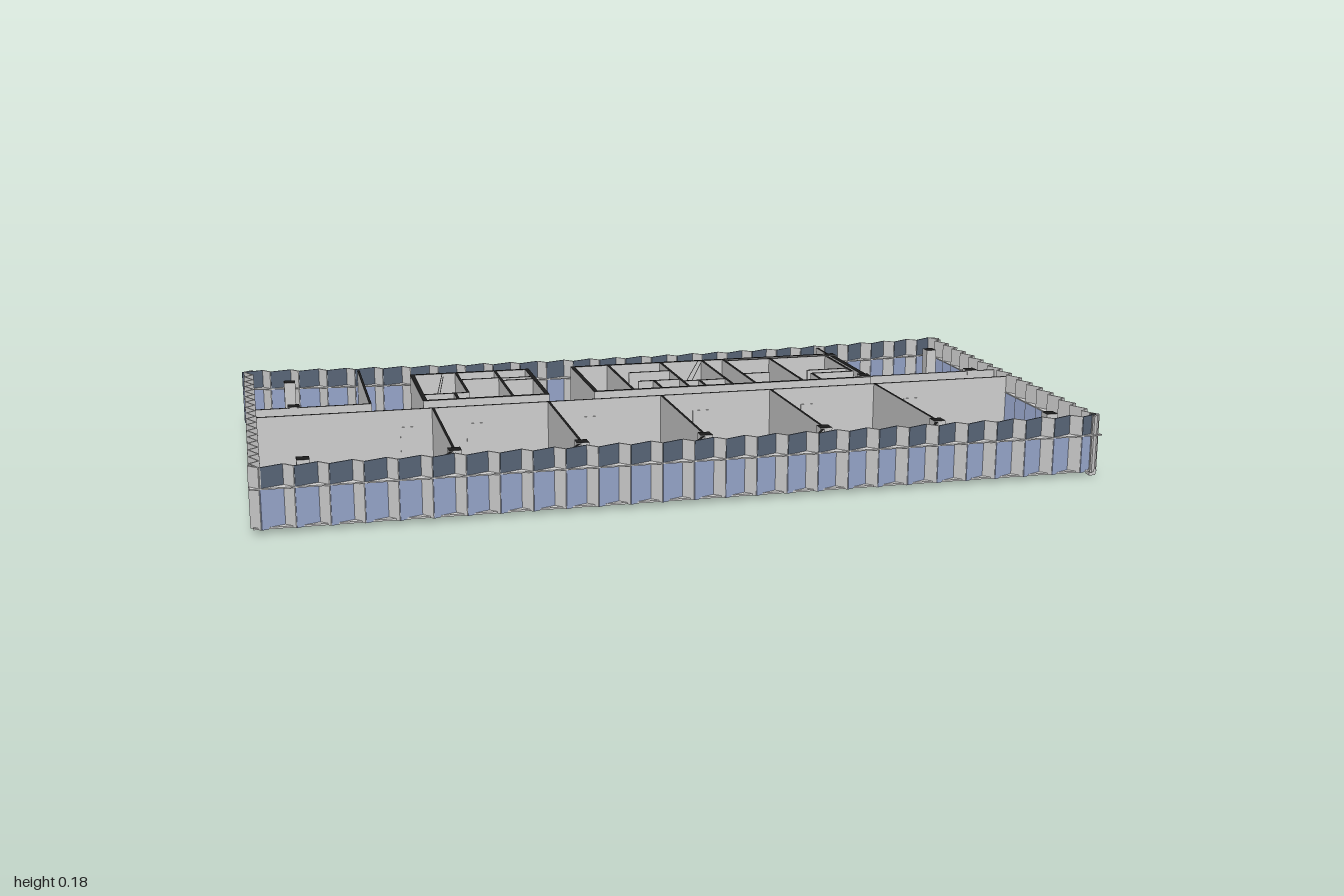
import * as THREE from 'three';
import { mergeGeometries } from 'three/addons/utils/BufferGeometryUtils.js';

const mat = (color) => new THREE.MeshStandardMaterial({ color });
const grey = mat(0xcccccc), black = mat(0x1a1a1a), glassMat = mat(0x97a6cb);
const slate = mat(0x596678), tan = mat(0xc4bca0), tile = mat(0xe6dedc);
const FLOOR = 0.014, TOP = 0.147, TRANSOM = 0.1;

// Upright panel between two plan points [x, z]
function panel(a, b, y0, y1, t) {
  const dx = b[0] - a[0], dz = b[1] - a[1];
  const g = new THREE.BoxGeometry(Math.hypot(dx, dz), y1 - y0, t);
  g.rotateY(-Math.atan2(dz, dx));
  return g.translate((a[0] + b[0]) / 2, (y0 + y1) / 2, (a[1] + b[1]) / 2);
}

// Line of the long, slightly hollow back side
const backZ = (x) => -0.5 + 0.065 * (1 - (x / 0.98) ** 2);

export function createModel() {
  const model = new THREE.Group();
  const plan = new THREE.Group();
  plan.name = 'officeFloor';
  plan.rotation.y = -0.0436;
  model.add(plan);

  function add(name, geometry, material) {
    const mesh = new THREE.Mesh(geometry, material);
    mesh.name = name;
    plan.add(mesh);
    return mesh;
  }
  const cut = [grey, grey, black, grey, grey, grey]; // dark cut face on top
  const wall = (name, x0, z0, x1, z1, t = 0.006) =>
    add(name, panel([x0, z0], [x1, z1], FLOOR, 0.143, t), cut);

  // Floor slab with shaft openings
  const slab = new THREE.Shape();
  slab.moveTo(-0.975, 0.49);
  slab.lineTo(0.975, 0.49);
  for (let i = 0; i <= 24; i++) {
    const x = 0.975 * (1 - i / 12);
    slab.lineTo(x, backZ(x) + 0.006);
  }
  const shafts = [
    [-0.43, -0.268, -0.335, -0.128], [-0.329, -0.235, -0.252, -0.06],
    [-0.543, -0.115, -0.472, -0.062], [-0.115, -0.349, -0.029, -0.062],
    [0.011, -0.247, 0.118, -0.147], [0.055, -0.138, 0.118, -0.065],
    [0.48, -0.125, 0.585, -0.064], [0.588, -0.3, 0.598, -0.13],
  ];
  for (const [x0, z0, x1, z1] of shafts) {
    const hole = new THREE.Path();
    hole.moveTo(x0, z0);
    hole.lineTo(x0, z1);
    hole.lineTo(x1, z1);
    hole.lineTo(x1, z0);
    hole.closePath();
    slab.holes.push(hole);
  }
  const slabGeo = new THREE.ExtrudeGeometry(slab, { depth: 0.004, bevelEnabled: false });
  add('floorSlab', slabGeo.rotateX(Math.PI / 2).translate(0, FLOOR, 0), grey);

  // Coloured floor finishes
  function finish(name, x0, z0, x1, z1, material) {
    const g = new THREE.BoxGeometry(x1 - x0, 0.002, z1 - z0);
    add(name, g.translate((x0 + x1) / 2, FLOOR + 0.001, (z0 + z1) / 2), material);
  }
  finish('stairFloorLeft', -0.545, -0.35, -0.437, -0.122, tan);
  finish('stairFloorRight', 0.124, -0.35, 0.234, -0.122, tan);
  finish('washroomFloor', 0.3, -0.335, 0.585, -0.17, tile);

  // Saw-tooth facade: a short grey fin, then a slanted glazed bay
  function facade(name, points, upper) {
    const fins = [], glass = [], spandrels = [], transoms = [];
    for (let i = 0; i + 1 < points.length; i++) {
      const a = points[i], b = points[i + 1];
      const dx = b[0] - a[0], dz = b[1] - a[1], len = Math.hypot(dx, dz);
      const at = (t, inset) => [
        a[0] + dx * t + (dz / len) * inset,
        a[1] + dz * t - (dx / len) * inset,
      ];
      const inner = at(0, 0.024), outer = at(0.3, 0.002), next = at(1, 0.024);
      fins.push(panel(inner, outer, 0.01, TOP, 0.004));
      glass.push(panel(outer, next, 0.01, TRANSOM, 0.003));
      spandrels.push(panel(outer, next, TRANSOM, TOP, 0.003));
      transoms.push(panel(at(0, 0.013), at(1, 0.013), TRANSOM - 0.0015, TRANSOM + 0.0015, 0.026));
    }
    add(name + 'Fins', mergeGeometries(fins), grey);
    add(name + 'Glass', mergeGeometries(glass), glassMat);
    add(name + 'Spandrels', mergeGeometries(spandrels), upper);
    add(name + 'Transom', mergeGeometries(transoms), grey);
  }
  const along = (n, fn) => Array.from({ length: n + 1 }, (_, i) => fn((2 * i) / n - 1));
  facade('front', along(27, (t) => [0.98 * t, 0.497]), slate);
  facade('right', along(17, (t) => [0.98, -0.497 * t]), grey);
  facade('back', along(27, (t) => [-0.98 * t, backZ(0.98 * t)]), slate);
  facade('left', along(17, (t) => [-0.98, 0.497 * t]), grey);
  add('cornerPost', new THREE.BoxGeometry(0.016, TOP, 0.018).translate(0.966, TOP / 2, 0.479), cut);

  // Corridor wall, room partitions and their doors
  wall('corridorWall', -0.957, 0.027, 0.96, 0.027);
  const rooms = [-0.54, -0.257, 0.027, 0.311, 0.59];
  for (const x of rooms) {
    wall('partition', x, 0.027, x, 0.433);
    wall('partitionEnd', x, 0.433, x - 0.03, 0.48);
  }
  for (const x of [-0.62, ...rooms.map((r) => r + 0.08)])
    add('door', panel([x, 0.027], [x + 0.045, 0.027], FLOOR, 0.1, 0.009), grey);
  wall('leftRoomWall', -0.683, backZ(0.683) + 0.015, -0.683, -0.053);
  wall('leftRoomWall', -0.957, -0.053, -0.683, -0.053);
  wall('rightRoomWall', 0.6, backZ(0.6) + 0.015, 0.6, -0.058);
  wall('rightRoomWall', 0.6, -0.058, 0.96, -0.058);

  // Service cores: outer walls
  for (const [x0, x1] of [[-0.55, -0.246], [-0.122, 0.605]]) {
    for (const z of [-0.357, -0.055]) wall('coreWall', x0 - 0.005, z, x1 + 0.005, z, 0.011);
    for (const x of [x0, x1]) wall('coreWall', x, -0.357, x, -0.055, 0.011);
  }
  // Service cores: inner walls
  const inner = [
    [-0.435, -0.357, -0.435, -0.12], [-0.55, -0.12, -0.432, -0.12],
    [-0.435, -0.27, -0.332, -0.27], [-0.332, -0.357, -0.332, -0.055],
    [-0.332, -0.237, -0.246, -0.237], [-0.332, -0.265, -0.246, -0.265],
    [-0.468, -0.12, -0.468, -0.055], [-0.025, -0.357, -0.025, -0.055],
    [0.008, -0.25, 0.121, -0.25], [0.008, -0.143, 0.121, -0.143],
    [0.05, -0.143, 0.05, -0.055], [0.121, -0.357, 0.121, -0.055],
    [0.237, -0.357, 0.237, -0.055], [0.121, -0.12, 0.237, -0.12],
    [0.165, -0.12, 0.165, -0.055], [0.297, -0.357, 0.297, -0.055],
    [0.425, -0.335, 0.425, -0.055], [0.297, -0.168, 0.37, -0.168],
    [0.475, -0.168, 0.59, -0.168], [0.297, -0.337, 0.6, -0.337],
    [0.475, -0.13, 0.59, -0.13], [0.475, -0.13, 0.475, -0.055],
    [0.587, -0.337, 0.587, -0.13],
  ];
  for (const w of inner) wall('coreInnerWall', ...w, 0.007);

  // Structural columns
  const columns = [
    [-0.865, 0.431], ...rooms.map((x) => [x, 0.431]), [0.876, 0.431],
    [-0.866, -0.34], [-0.866, -0.066], [0.897, -0.342], [0.897, -0.069],
    [0.6, -0.34], [0.598, -0.07],
  ];
  for (const [x, z] of columns)
    add('column', new THREE.BoxGeometry(0.028, 0.131, 0.03).translate(x, FLOOR + 0.0655, z), cut);

  // Sloping stair handrails
  for (const x of [-0.492, 0.178]) {
    for (const [z0, z1] of [[-0.32, -0.182], [-0.28, -0.155]]) {
      const line = new THREE.LineCurve3(new THREE.Vector3(x, 0.085, z0), new THREE.Vector3(x, 0.18, z1));
      add('handrail', new THREE.TubeGeometry(line, 1, 0.001, 6), grey);
    }
  }
  return model;
}
